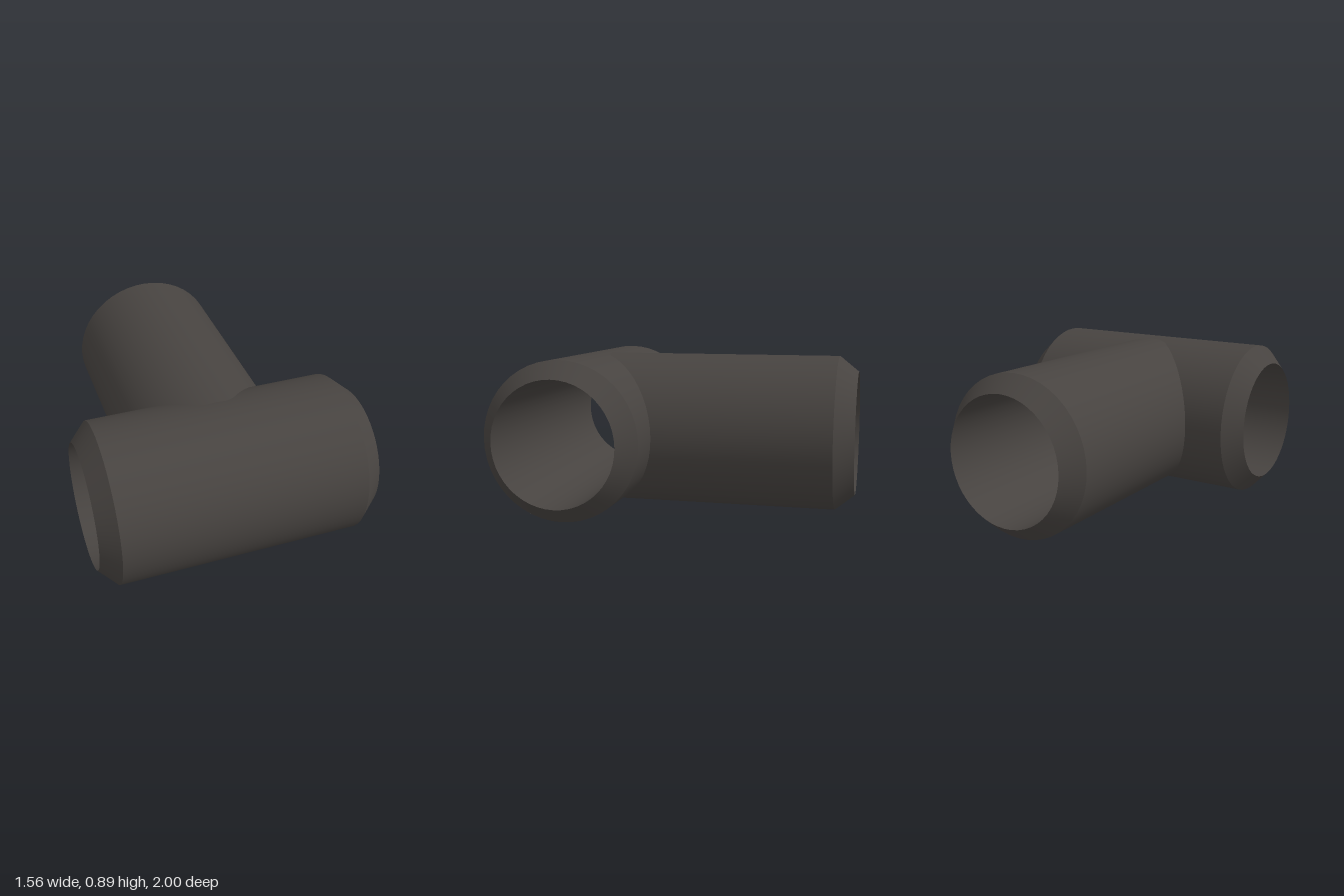
import * as THREE from 'three';
import { toCreasedNormals } from 'three/addons/utils/BufferGeometryUtils.js';

const SIDES = 48;
const RADIUS = 0.445;
const BAR_Z = 1 - RADIUS;

// Pipe wall along +y, turned from [radius, position] pairs: up the outside, down the bore
function pipe(profile) {
  return new THREE.LatheGeometry(profile.map(([r, y]) => new THREE.Vector2(r, y)), SIDES);
}

// Smooth round walls with sharp bevel and rim edges
function addPart(group, name, geometry, material) {
  const mesh = new THREE.Mesh(toCreasedNormals(geometry, 0.4), material);
  mesh.name = name;
  group.add(mesh);
  return mesh;
}

export function createModel() {
  const group = new THREE.Group();
  group.name = 'teeFitting';
  const material = new THREE.MeshStandardMaterial({ color: 0x474340, side: THREE.DoubleSide });

  // Cross pipe along x, open right through, with a bevel at each end
  const barGeometry = pipe([
    [0.345, -0.78], [RADIUS, -0.685], [RADIUS, 0.665],
    [0.35, 0.777], [0.345, -0.78],
  ]).rotateZ(-Math.PI / 2);
  addPart(group, 'crossPipe', barGeometry, material).position.set(0, RADIUS, BAR_Z);

  // Stem pipe running back along -z, bevelled at its open end
  const stemRadius = RADIUS - 0.001;
  const stemGeometry = pipe([
    [stemRadius, 0], [stemRadius, 0.89], [0.355, 1], [0.355, 0],
  ]).rotateX(-Math.PI / 2);

  // Shape the joint end to the round of the cross pipe
  const points = stemGeometry.attributes.position;
  for (let i = 0; i < points.count; i++) {
    if (points.getZ(i) < -0.5) continue;
    const y = points.getY(i);
    const saddle = BAR_Z - Math.sqrt(Math.max(0, RADIUS * RADIUS - y * y));
    points.setZ(i, Math.min(0.47, saddle + 0.005));
  }
  addPart(group, 'stemPipe', stemGeometry, material).position.set(-0.013, RADIUS, 0);

  return group;
}
